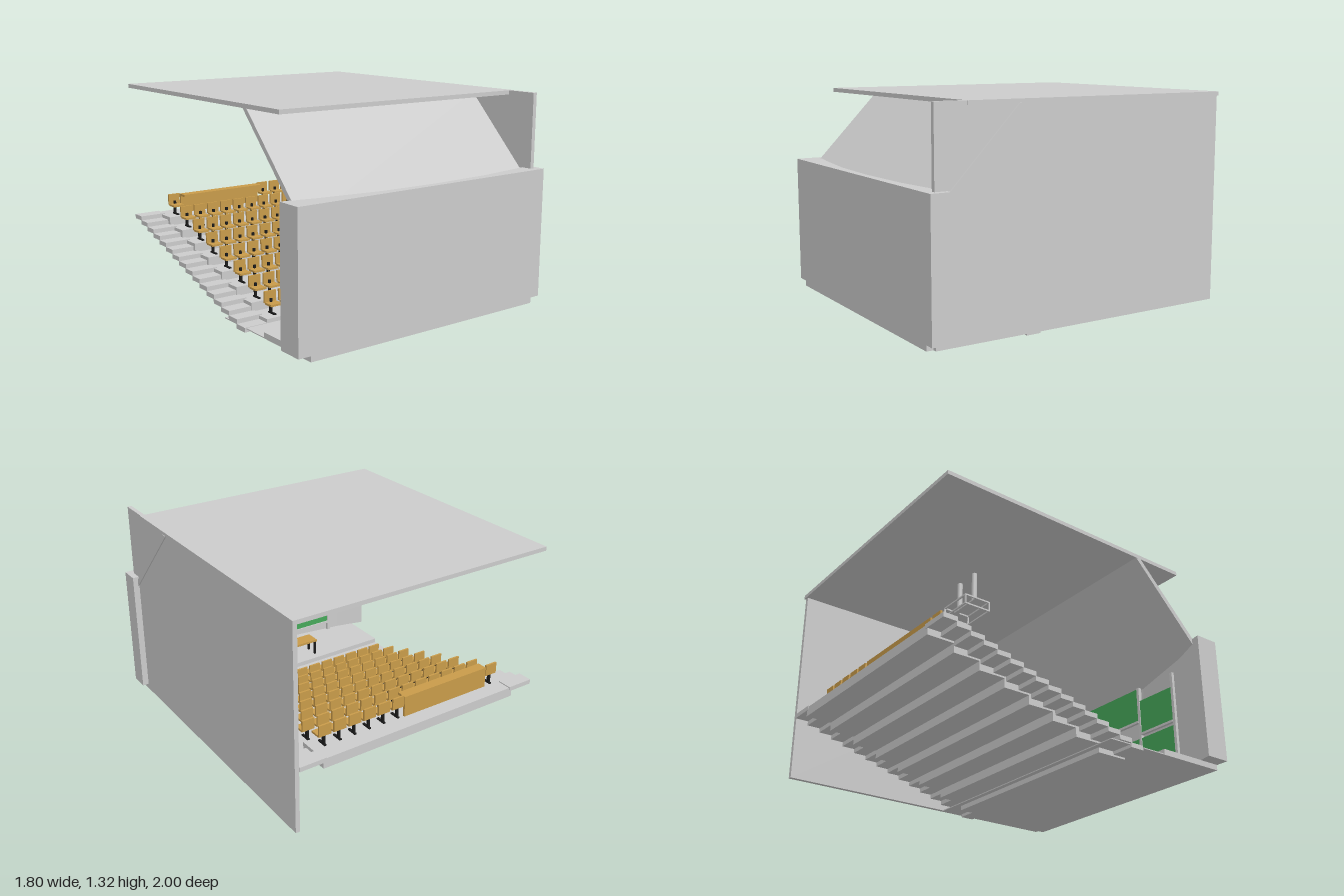
import * as THREE from 'three';

const grey = new THREE.MeshStandardMaterial({ color: 0xcccccc, side: THREE.DoubleSide });
const wood = new THREE.MeshStandardMaterial({ color: 0xc89b4a });
const green = new THREE.MeshStandardMaterial({ color: 0x46a85a });
const black = new THREE.MeshStandardMaterial({ color: 0x1a1a1a });

// Box given by its min and max on each axis
function box(parent, name, [x0, x1], [y0, y1], [z0, z1], mat = grey) {
  const mesh = new THREE.Mesh(new THREE.BoxGeometry(x1 - x0, y1 - y0, z1 - z0), mat);
  mesh.position.set((x0 + x1) / 2, (y0 + y1) / 2, (z0 + z1) / 2);
  mesh.name = name;
  parent.add(mesh);
  return mesh;
}

function section(parent, name) {
  const g = new THREE.Group();
  g.name = name;
  parent.add(g);
  return g;
}

// Flat outline extruded without bevel
function extrude(points, depth) {
  const shape = new THREE.Shape(points.map(([a, b]) => new THREE.Vector2(a, b)));
  return new THREE.ExtrudeGeometry(shape, { depth, bevelEnabled: false });
}

// Chair with backrest facing the rear; origin at floor level under the backrest
function makeChair() {
  const chair = new THREE.Group();
  chair.name = 'chair';
  box(chair, 'backrest', [-0.04, 0.04], [0.065, 0.135], [-0.012, 0], wood);
  box(chair, 'seat', [-0.038, 0.038], [0.058, 0.07], [0, 0.065], wood);
  box(chair, 'leg', [-0.007, 0.007], [0, 0.09], [-0.004, 0.012], black);
  box(chair, 'foot', [-0.007, 0.007], [0, 0.008], [-0.015, 0.05], black);
  return chair;
}

export function createModel() {
  const hall = new THREE.Group();
  hall.name = 'lectureHall';

  // Shell: roof, side wall, curved front wall, sloped ceiling panel
  box(hall, 'roof', [-0.843, 0.865], [1.29, 1.315], [-1, 0.76]);
  box(hall, 'sideWall', [0.833, 0.86], [0.03, 1.315], [-0.99, 0.955]);

  const wallPlan = [[-0.9, 1], [-0.9, 0.84], [-0.7, 0.885], [-0.31, 0.94], [0.06, 0.955],
    [0.46, 0.94], [0.83, 0.89], [0.86, 0.88], [0.9, 0.88], [0.9, 1]];
  const frontWall = new THREE.Mesh(extrude(wallPlan, 0.795), grey);
  frontWall.name = 'frontWall';
  frontWall.rotation.x = Math.PI / 2;
  frontWall.position.y = 0.86;
  hall.add(frontWall);

  const panelProfile = [[-0.44, 1.295], [-0.4, 1.295], [-0.965, 0.71], [-0.965, 0.755]];
  const ceilingPanel = new THREE.Mesh(extrude(panelProfile, 1.71), grey);
  ceilingPanel.name = 'slopedCeilingPanel';
  ceilingPanel.rotation.y = Math.PI / 2;
  ceilingPanel.position.x = -0.842;
  hall.add(ceilingPanel);

  // Floor and stage
  box(hall, 'floor', [-0.82, 0.835], [0.03, 0.036], [0.137, 0.56]);
  box(hall, 'stage', [-0.82, 0.835], [0.03, 0.066], [0.553, 0.998]);

  // Seating tiers with chairs
  const tiers = section(hall, 'seatingTiers');
  const chairs = section(hall, 'chairs');
  const rows = 8, pitch = 0.166, rise = 0.0545;
  for (let i = 0; i < rows; i++) {
    const top = 0.06 + rise * i, front = 0.37 - pitch * i;
    box(tiers, 'tier', [-0.68, 0.68], [rise * i, top], [front - 0.2, front]);
    for (let k = 0; k < 13; k++) {
      const x = -0.6 + k * 0.1;
      if (i === rows - 1 && x > -0.55 && x < 0.05) continue;
      const chair = makeChair();
      chair.position.set(x, top, front - 0.085);
      chairs.add(chair);
    }
  }

  // Long control desk in the back row
  const desk = section(hall, 'controlDesk');
  box(desk, 'deskBack', [-0.55, 0.06], [0.44, 0.565], [-0.895, -0.88], wood);
  box(desk, 'deskTop', [-0.55, 0.06], [0.555, 0.57], [-0.895, -0.83], wood);

  // Aisle stairs on both sides, two steps per tier
  const stairs = section(hall, 'aisleStairs');
  for (const [x0, x1] of [[-0.83, -0.66], [0.66, 0.833]]) {
    for (let j = 0; j < 16; j++) {
      const front = 0.37 - j * 0.085, y = 0.033 + j * rise / 2;
      box(stairs, 'step', [x0, x1], [y - 0.022, y + 0.006], [front - 0.09, front]);
    }
  }

  // Sliding boards on posts
  const boards = section(hall, 'boards');
  for (const x of [0.51, 0.2, -0.32, -0.62]) {
    box(boards, 'post', [x - 0.01, x + 0.01], [0.066, 0.72], [0.875, 0.9]);
  }
  const columns = [
    [0.21, 0.5, [0.14, 0.4]],
    [-0.31, 0.19, [0.14, 0.49]],
    [-0.61, -0.33, [0.14, 0.4]],
  ];
  for (const [x0, x1, bottoms] of columns) {
    for (const y of bottoms) {
      box(boards, 'board', [x0, x1], [y, y + 0.225], [0.88, 0.892], green);
      box(boards, 'boardRail', [x0, x1], [y - 0.015, y], [0.872, 0.892]);
    }
  }

  // Lectern and table on the stage
  const lectern = section(hall, 'lectern');
  box(lectern, 'lecternBody', [-0.09, 0.05], [0.066, 0.195], [0.57, 0.62], wood);
  box(lectern, 'lecternTop', [-0.095, 0.055], [0.195, 0.205], [0.565, 0.63], wood);
  const table = section(hall, 'table');
  box(table, 'tableTop', [-0.33, -0.13], [0.165, 0.18], [0.6, 0.7], wood);
  for (const x of [-0.32, -0.14]) {
    for (const z of [0.61, 0.69]) {
      box(table, 'tableLeg', [x - 0.006, x + 0.006], [0.066, 0.165], [z - 0.006, z + 0.006], black);
    }
  }

  // Cabinet and wall shelf in the stage corner
  box(hall, 'cabinet', [0.52, 0.65], [0.066, 0.22], [0.84, 0.92]);
  box(hall, 'wallShelf', [0.68, 0.8], [0.17, 0.19], [0.82, 0.9]);
  box(hall, 'shelfUnit', [0.7, 0.77], [0.19, 0.24], [0.84, 0.9]);

  // Projector cage hung from the ceiling
  const projector = section(hall, 'projectorCage');
  for (const x of [-0.08, 0.08]) {
    const pole = new THREE.Mesh(new THREE.CylinderGeometry(0.017, 0.017, 0.2, 12), grey);
    pole.name = 'hanger';
    pole.position.set(x, 1.19, -0.28);
    projector.add(pole);
  }
  for (const y of [1.03, 1.09]) {
    for (const s of [-1, 1]) {
      box(projector, 'cageBar', [-0.12, 0.12], [y, y + 0.01], [-0.285 + s * 0.09, -0.275 + s * 0.09]);
      box(projector, 'cageSide', [s * 0.115 - 0.005, s * 0.115 + 0.005], [y, y + 0.01], [-0.37, -0.19]);
    }
  }
  for (const x of [-0.115, 0.115]) {
    for (const z of [-0.37, -0.19]) {
      box(projector, 'cagePost', [x - 0.005, x + 0.005], [1.03, 1.1], [z - 0.005, z + 0.005]);
    }
  }
  box(projector, 'hangerBeam', [-0.12, 0.12], [1.09, 1.1], [-0.295, -0.265]);
  return hall;
}
